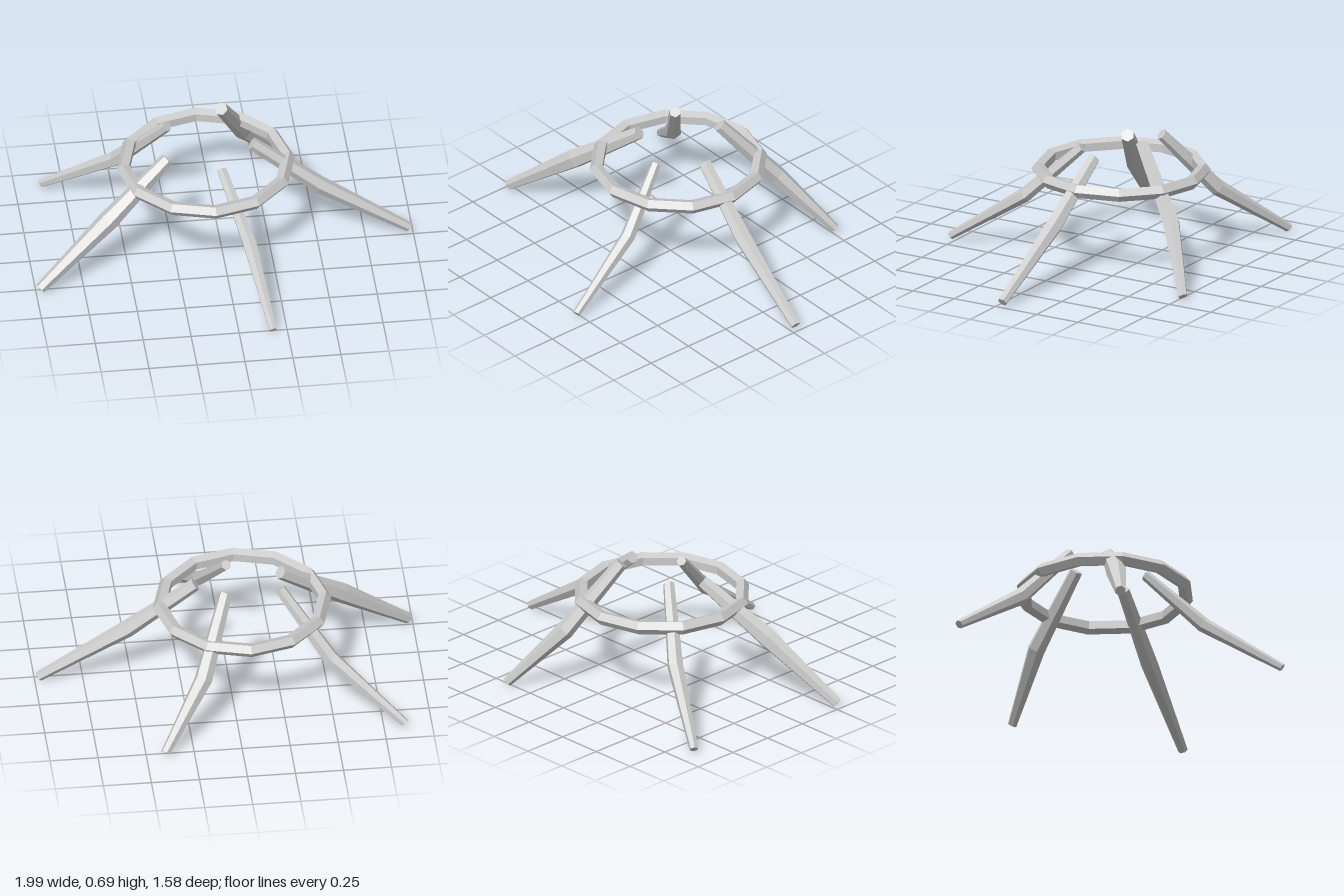
import * as THREE from 'three';

const material = new THREE.MeshStandardMaterial({ color: 0xcccccc, flatShading: true });

// Six-sided leg: tapers from a thick joint to the head and the foot
function makeLeg(name, head, joint, foot, radii) {
  const [h, j, f] = [head, joint, foot].map((p) => new THREE.Vector3(...p));
  const turn = new THREE.Quaternion().setFromUnitVectors(
    new THREE.Vector3(0, 1, 0), h.clone().sub(f).normalize());
  const geometry = new THREE.CylinderGeometry(1, 1, 2, 6, 2);
  const pos = geometry.attributes.position;
  const v = new THREE.Vector3();
  for (let i = 0; i < pos.count; i++) {
    v.fromBufferAttribute(pos, i);
    const row = 1 - Math.round(v.y); // 0 head, 1 joint, 2 foot
    v.y = 0;
    v.multiplyScalar(radii[row]).applyQuaternion(turn).add([h, j, f][row]);
    pos.setXYZ(i, v.x, v.y, v.z);
  }
  geometry.computeVertexNormals();
  const leg = new THREE.Mesh(geometry, material);
  leg.name = name;
  return leg;
}

export function createModel() {
  const group = new THREE.Group();
  group.name = 'ringStand';

  // Twelve-sided ring lying flat
  const ringGeometry = new THREE.TorusGeometry(0.428, 0.037, 5, 12);
  ringGeometry.rotateX(-Math.PI / 2);
  const ring = new THREE.Mesh(ringGeometry, material);
  ring.name = 'ring';
  ring.position.set(-0.07, 0.475, -0.11);
  group.add(ring);

  // Splayed legs: head, joint, foot, radii
  group.add(
    makeLeg('frontLeg', [-0.01, 0.575, 0.09], [0.1, 0.3, 0.37], [0.175, 0.03, 0.775], [0.027, 0.039, 0.021]),
    makeLeg('leftLeg', [0.17, 0.595, -0.09], [0.52, 0.32, -0.06], [0.98, 0.03, -0.03], [0.034, 0.046, 0.026]),
    makeLeg('backLeftLeg', [0.035, 0.675, -0.3], [0.18, 0.33, -0.565], [0.4, 0.025, -0.77], [0.035, 0.048, 0.025]),
    makeLeg('backRightLeg', [-0.255, 0.635, -0.24], [-0.5, 0.31, -0.43], [-0.86, 0.025, -0.645], [0.03, 0.043, 0.023]),
    makeLeg('rightLeg', [-0.28, 0.585, -0.02], [-0.61, 0.325, 0.13], [-0.978, 0.03, 0.273], [0.036, 0.054, 0.029]),
  );
  return group;
}
